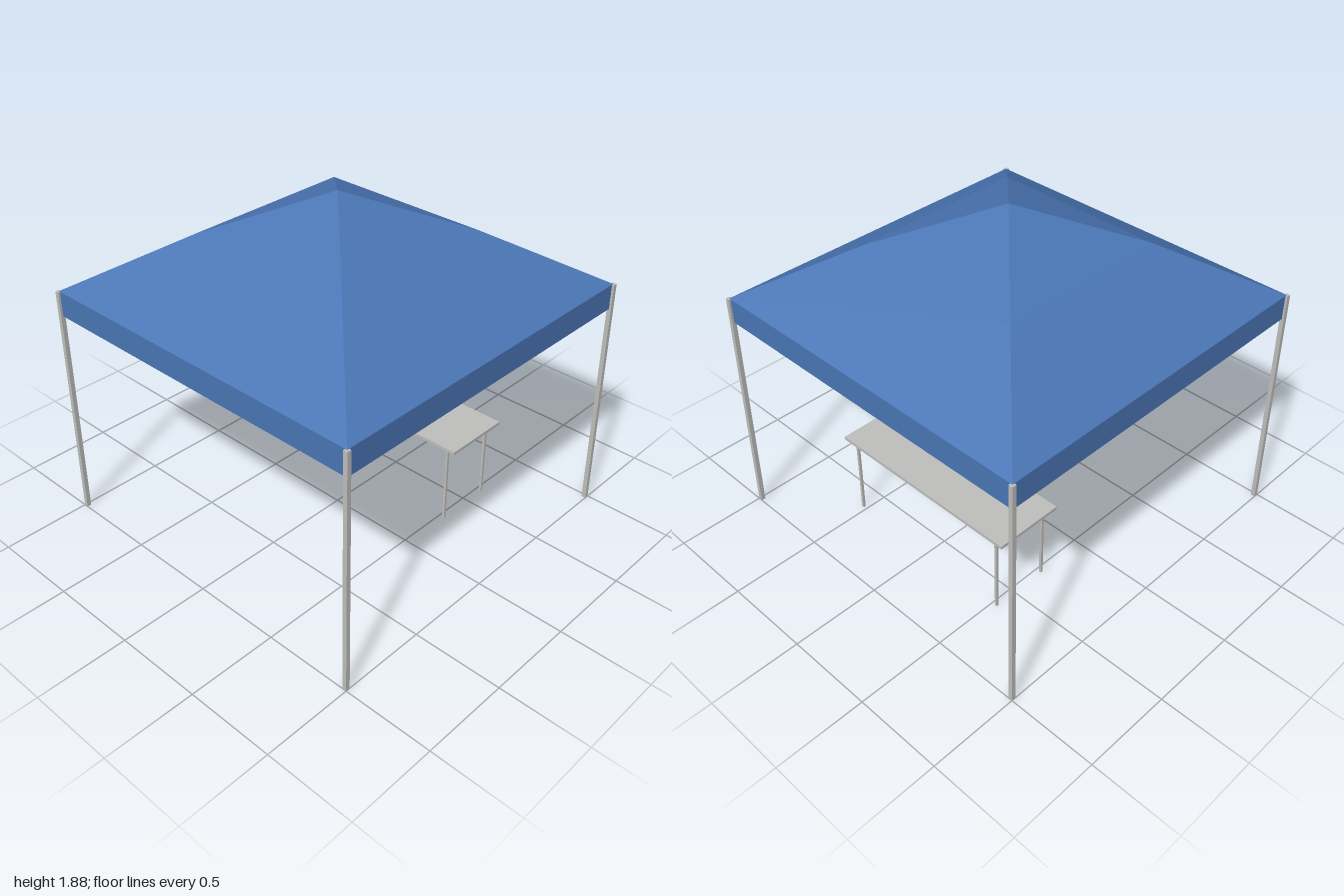
import * as THREE from 'three';

export function createModel() {
  const canvas = new THREE.MeshStandardMaterial({ name: 'blueCanvas', color: 0x4a76b5, side: THREE.DoubleSide });
  const metal = new THREE.MeshStandardMaterial({ name: 'greyMetal', color: 0xbfbfbc });
  const model = new THREE.Group();
  model.name = 'canopyWithTable';

  // Square ring of cloth between two heights, with flat faces
  const cloth = (name, parent, halfBottom, yBottom, halfTop, yTop) => {
    const geometry = new THREE.CylinderGeometry(
      halfTop * Math.SQRT2, halfBottom * Math.SQRT2, yTop - yBottom, 4, 1, true
    ).rotateY(Math.PI / 4).toNonIndexed();
    geometry.computeVertexNormals();
    const mesh = new THREE.Mesh(geometry, canvas);
    mesh.name = name;
    mesh.position.y = (yBottom + yTop) / 2;
    parent.add(mesh);
  };

  const box = (name, parent, w, h, d, x, y, z) => {
    const mesh = new THREE.Mesh(new THREE.BoxGeometry(w, h, d), metal);
    mesh.name = name;
    mesh.position.set(x, y, z);
    parent.add(mesh);
  };

  // Canopy: hanging valance, steep lower slope, shallow upper slope
  const canopy = new THREE.Group();
  canopy.name = 'canopy';
  cloth('valance', canopy, 0.988, 1.212, 0.988, 1.352);
  cloth('lowerRoof', canopy, 0.988, 1.352, 0.494, 1.658);
  cloth('upperRoof', canopy, 0.494, 1.658, 0, 1.88);
  model.add(canopy);

  // Corner poles
  const frame = new THREE.Group();
  frame.name = 'frame';
  for (const x of [-0.988, 0.988]) {
    for (const z of [-0.988, 0.988]) box('pole', frame, 0.024, 1.352, 0.024, x, 0.676, z);
  }
  model.add(frame);

  // Long table on the left side
  const table = new THREE.Group();
  table.name = 'table';
  table.position.x = 0.461;
  box('tableTop', table, 0.396, 0.018, 1.19, 0, 0.477, 0);
  for (const x of [-0.165, 0.165]) {
    for (const z of [-0.527, 0.527]) box('tableLeg', table, 0.014, 0.468, 0.014, x, 0.234, z);
  }
  model.add(table);

  return model;
}
